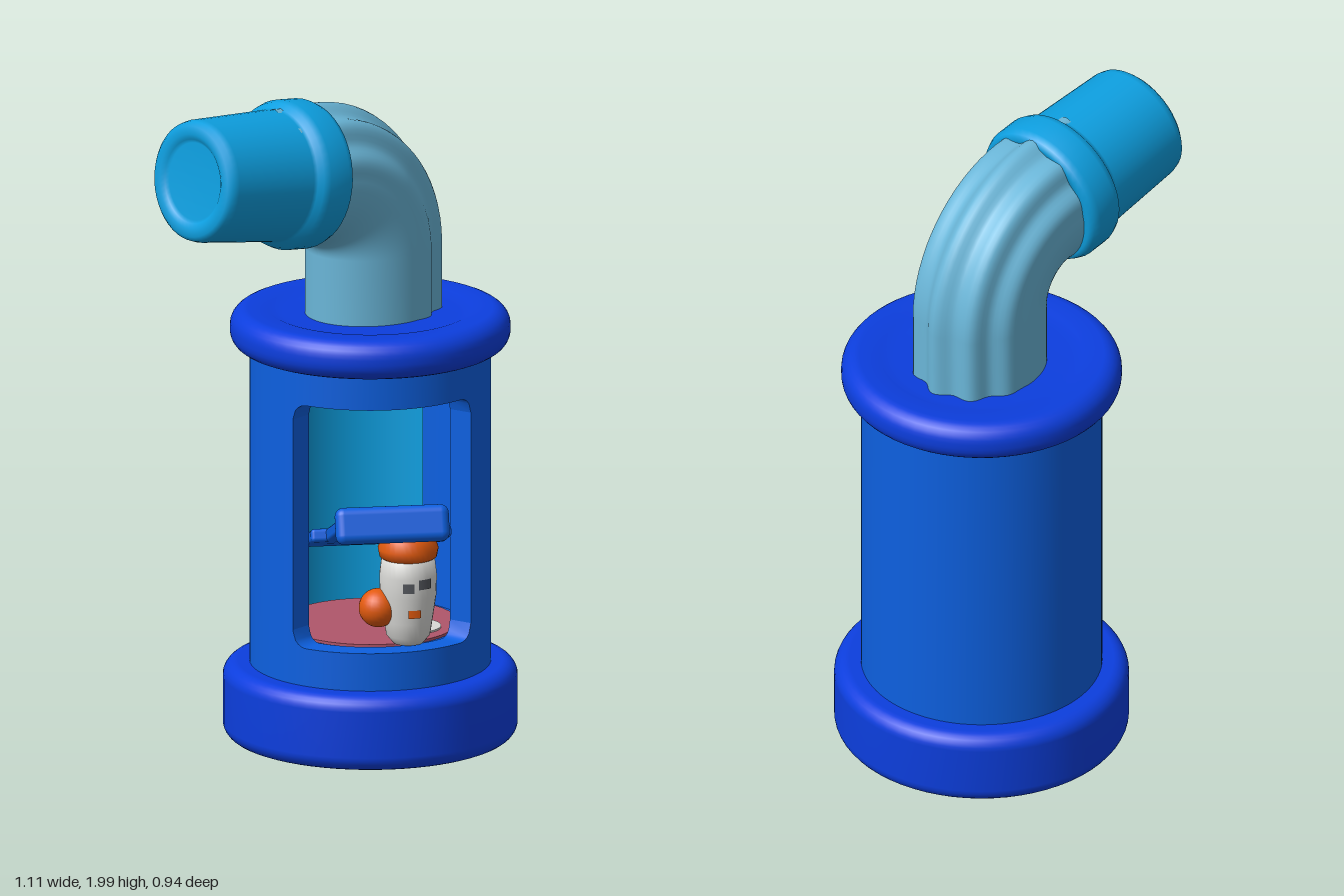
import * as THREE from 'three';
import { RoundedBoxGeometry } from 'three/addons/geometries/RoundedBoxGeometry.js';

const mat = (name, color, side = THREE.FrontSide) => {
  const m = new THREE.MeshStandardMaterial({ color, side });
  m.name = name;
  return m;
};

const CX = 0.122, CZ = -0.034; // axis of the upright body

// Lathe from [radius, height] pairs
const lathe = (pts, seg = 64) =>
  new THREE.LatheGeometry(pts.map(([r, y]) => new THREE.Vector2(r, y)), seg);

// Disc profile with rounded rims
function roundedDisc(r, y0, y1, k, top = []) {
  const pts = [[0, y0]];
  for (let i = 0; i <= 6; i++) {
    const a = (i / 6) * Math.PI / 2;
    pts.push([r - k + k * Math.sin(a), y0 + k - k * Math.cos(a)]);
  }
  for (let i = 0; i <= 6; i++) {
    const a = (i / 6) * Math.PI / 2;
    pts.push([r - k + k * Math.cos(a), y1 - k + k * Math.sin(a)]);
  }
  return lathe([...pts, ...top, [0, top.length ? top[top.length - 1][1] : y1]]);
}

// Thick curved wall between two angles (0 = front), with varying lower and upper edges
function arcWall(t0, t1, lo, hi, ri, ro, seg) {
  const pos = [], idx = [];
  const section = (t) => [[ro, lo(t)], [ro, hi(t)], [ri, hi(t)], [ri, lo(t)]]
    .map(([r, y]) => [r * Math.sin(t), y, r * Math.cos(t)]);
  for (let s = 0; s < 4; s++) {
    const base = pos.length / 3;
    for (let i = 0; i <= seg; i++) {
      const c = section(t0 + (t1 - t0) * i / seg);
      pos.push(...c[s], ...c[(s + 1) % 4]);
      if (i < seg) {
        const a = base + i * 2;
        idx.push(a, a + 2, a + 3, a, a + 3, a + 1);
      }
    }
  }
  for (const [t, order] of [[t1, [0, 3, 2, 0, 2, 1]], [t0, [0, 2, 3, 0, 1, 2]]]) {
    const base = pos.length / 3;
    section(t).forEach((p) => pos.push(...p));
    idx.push(...order.map((i) => base + i));
  }
  const g = new THREE.BufferGeometry();
  g.setAttribute('position', new THREE.Float32BufferAttribute(pos, 3));
  g.setIndex(idx);
  g.computeVertexNormals();
  return g;
}

// Bent pipe with ribs along its outer side
function pipeGeometry(origin, dir, perp) {
  const path = [];
  const R = 0.255, y0 = 1.495;
  for (const y of [1.24, 1.38]) path.push([0, y, 0]);
  for (let i = 0; i <= 18; i++) {
    const a = (i / 18) * 1.62;
    path.push([R - R * Math.cos(a), y0 + R * Math.sin(a), a]);
  }
  path.push([0.36, 1.757, 1.66]);
  const n = 96, pos = [], idx = [];
  path.forEach(([d, y, a], j) => {
    for (let i = 0; i <= n; i++) {
      const t = (i / n) * Math.PI * 2;
      const back = Math.max(0, -Math.cos(t));
      const rib = 0.011 * Math.cos(10 * t) * Math.min(1, back * 1.6);
      const u = Math.cos(t) * (0.208 + rib), v = Math.sin(t) * (0.182 + rib);
      const h = d + u * Math.cos(a);
      pos.push(origin.x + dir.x * h + perp.x * v, y + u * Math.sin(a) * -1, origin.z + dir.z * h + perp.z * v);
      if (j < path.length - 1 && i < n) {
        const q = j * (n + 1) + i, w = q + n + 1;
        idx.push(q, w, q + 1, q + 1, w, w + 1);
      }
    }
  });
  const g = new THREE.BufferGeometry();
  g.setAttribute('position', new THREE.Float32BufferAttribute(pos, 3));
  g.setIndex(idx);
  g.computeVertexNormals();
  return g;
}

export function createModel() {
  const model = new THREE.Group();
  model.name = 'periscopeToy';
  const royal = mat('royalBlue', 0x0c3ede);
  const blue = mat('bodyBlue', 0x0d60e0);
  const cyan = mat('capBlue', 0x0d9fe0, THREE.DoubleSide);
  const pale = mat('pipeBlue', 0x6ab6d8, THREE.DoubleSide);
  const orange = mat('orange', 0xe25a0e);
  const white = mat('offWhite', 0xd9d9d6);
  const grey = mat('darkGrey', 0x55585e);
  const pink = mat('duskyPink', 0xb0566a);

  const add = (parent, name, geo, m, x = 0, y = 0, z = 0) => {
    const mesh = new THREE.Mesh(geo, m);
    mesh.name = name;
    mesh.position.set(x, y, z);
    parent.add(mesh);
    return mesh;
  };

  // Upright body
  const body = new THREE.Group();
  body.name = 'body';
  body.position.set(CX, 0, CZ);
  model.add(body);
  add(body, 'base', roundedDisc(0.436, 0, 0.23, 0.045), royal);
  add(body, 'lid', roundedDisc(0.415, 1.19, 1.31, 0.052, [[0.3, 1.307], [0.26, 1.295]]), royal);

  // Wall with a rounded window at the front
  const W = 0.84, RI = 0.283, RO = 0.357, K = 0.05;
  const corner = (t) => {
    const e = Math.max(0, Math.abs(t) * RO - (W * RO - K)) / K;
    return K * (1 - Math.sqrt(Math.max(0, 1 - e * e)));
  };
  add(body, 'wall', arcWall(W, Math.PI * 2 - W, () => 0.2, () => 1.2, RI, RO, 72), blue);
  add(body, 'windowSill', arcWall(-W, W, () => 0.2, (t) => 0.345 + corner(t), RI, RO, 60), blue);
  add(body, 'windowLintel', arcWall(-W, W, (t) => 1.09 - corner(t), () => 1.2, RI, RO, 60), blue);

  // Chamber inside
  add(body, 'floor', new THREE.CylinderGeometry(0.29, 0.29, 0.14, 48), blue, 0, 0.268);
  add(body, 'ceiling', new THREE.CylinderGeometry(0.29, 0.29, 0.1, 48), blue, 0, 1.15);
  add(body, 'backLiner', new THREE.CylinderGeometry(0.277, 0.277, 0.78, 32, 1, true, Math.PI - 0.74, 1.48), cyan, 0, 0.725);
  add(body, 'floorMat', new THREE.CylinderGeometry(0.26, 0.26, 0.008, 40), pink, 0, 0.342);
  add(body, 'matPatch', new THREE.CylinderGeometry(0.08, 0.08, 0.008, 24), white, 0.12, 0.347, 0.08);

  // Tilted flap with handle bar
  const flap = new THREE.Group();
  flap.name = 'flap';
  flap.position.set(0.12, 0.77, 0.432);
  flap.rotation.x = -0.37;
  model.add(flap);
  add(flap, 'handleBar', new RoundedBoxGeometry(0.34, 0.11, 0.055, 4, 0.026), blue);
  for (const s of [-1, 1])
    add(flap, 'flapArm', new RoundedBoxGeometry(0.04, 0.042, 0.3, 2, 0.012), blue, s * 0.145, 0, -0.16);
  add(flap, 'flapPlate', new RoundedBoxGeometry(0.42, 0.04, 0.15, 2, 0.012), blue, 0, 0, -0.31);

  // Little figure behind the window
  const figure = new THREE.Group();
  figure.name = 'figure';
  figure.position.set(0.198, 0, 0.222);
  model.add(figure);
  add(figure, 'figureBody', lathe([[0, 0.345], [0.045, 0.35], [0.065, 0.375], [0.072, 0.42],
    [0.084, 0.5], [0.085, 0.56], [0.078, 0.62], [0, 0.66]], 32), white);
  add(figure, 'figureHat', lathe([[0, 0.595], [0.06, 0.597], [0.085, 0.615], [0.09, 0.64], [0.08, 0.67],
    [0.06, 0.692], [0.03, 0.706], [0, 0.71]], 32), orange);
  add(figure, 'figurePuff', new THREE.SphereGeometry(0.058, 24, 16), orange, -0.09, 0.46, 0.005);
  const facePatch = (name, r, h, y, t, len, m) =>
    add(figure, name, new THREE.CylinderGeometry(r, r, h, 6, 1, true, t - len / 2, len), m, 0, y);
  facePatch('eye', 0.0875, 0.03, 0.535, -0.12, 0.4, grey);
  facePatch('eye', 0.0875, 0.03, 0.545, 0.48, 0.5, grey);
  facePatch('mouth', 0.083, 0.024, 0.455, 0.1, 0.45, orange);

  // Ribbed elbow pipe
  const dir = new THREE.Vector3(-0.845, 0, 0.534);
  const perp = new THREE.Vector3(0.534, 0, 0.845);
  add(model, 'elbowPipe', pipeGeometry(new THREE.Vector3(0.13, 0, -0.06), dir, perp), pale);

  // Collared cap on the pipe's mouth
  const cap = add(model, 'cap', lathe([[0.15, 0.03], [0.17, 0.005], [0.2, 0], [0.215, 0.01], [0.223, 0.03],
    [0.223, 0.1], [0.215, 0.122], [0.2, 0.133], [0.196, 0.145], [0.183, 0.425], [0.178, 0.445],
    [0.165, 0.457], [0.14, 0.458], [0.125, 0.45], [0.115, 0.442], [0, 0.442]], 48), cyan, -0.08, 1.757, 0.07);
  cap.quaternion.setFromUnitVectors(new THREE.Vector3(0, 1, 0),
    dir.clone().multiplyScalar(0.993).setY(0.12).normalize());
  return model;
}
